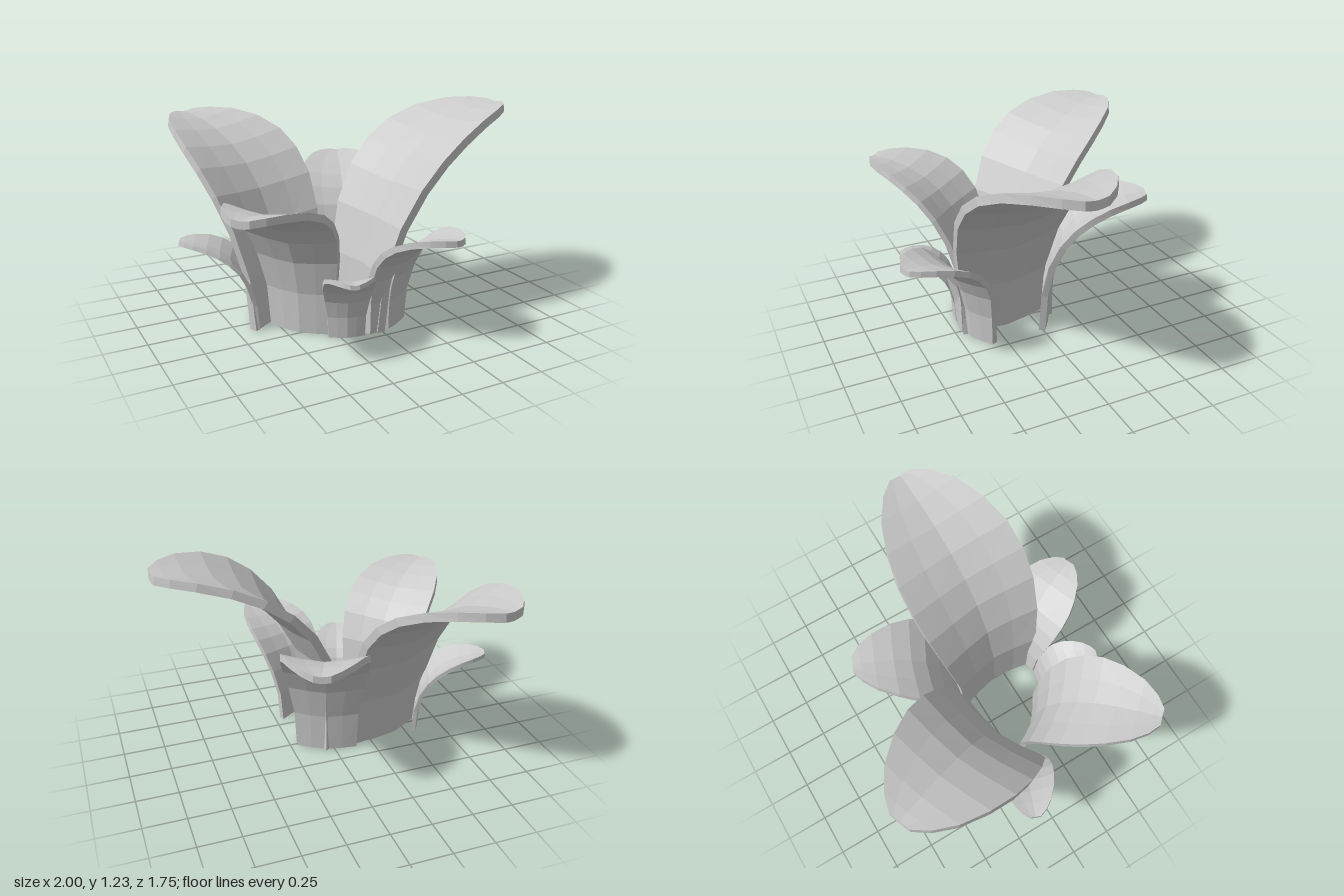
import * as THREE from 'three';

const material = new THREE.MeshStandardMaterial({ color: 0xcccccc, flatShading: true, side: THREE.DoubleSide });

// Half-width of a leaf along its length: [position, fraction of widest]
const OUTLINE = [[0, 0.72], [0.16, 0.76], [0.32, 0.88], [0.46, 0.97], [0.58, 1], [0.69, 0.97],
  [0.8, 0.85], [0.9, 0.65], [0.965, 0.41], [1, 0.18]];
const ACROSS = [-1, -0.5, 0, 0.5, 1];

// Upright curve of a leaf, bending outwards (local +z)
function leafCurve({ reach, height, rise, lean, crest }) {
  return new THREE.CubicBezierCurve3(
    new THREE.Vector3(0, 0, 0), new THREE.Vector3(0, height * rise, 0),
    new THREE.Vector3(0, height * crest, reach * lean), new THREE.Vector3(0, height, reach));
}

// Thick, cupped blade lofted from closed cross-sections along the curve
function bladeGeometry(leaf) {
  const curve = leafCurve(leaf);
  const pos = [], idx = [], n = ACROSS.length, ring = 2 * n;
  OUTLINE.forEach(([t, w]) => {
    const p = curve.getPoint(t), d = curve.getTangent(t);
    const half = leaf.width / 2 * w;
    const cup = half * (0.2 - 0.06 * t);
    const point = (u, depth) => {
      const k = cup * Math.abs(u) ** 1.4 - depth;
      // keep the foot flat on the ground
      pos.push(u * half, Math.max(0, p.y + d.z * k), p.z - d.y * k);
    };
    ACROSS.forEach(u => point(u, 0));
    [...ACROSS].reverse().forEach(u => point(u, leaf.thick));
  });
  for (let i = 0; i < OUTLINE.length - 1; i++) {
    for (let j = 0; j < ring; j++) {
      const a = i * ring + j, b = i * ring + (j + 1) % ring;
      idx.push(a, a + ring, b, b, a + ring, b + ring);
    }
  }
  // foot and tip caps
  const top = (OUTLINE.length - 1) * ring;
  for (let j = 0; j < n - 1; j++) {
    const a = j, b = j + 1, c = ring - 1 - j, d = ring - 2 - j;
    idx.push(a, b, c, b, d, c);
    idx.push(top + a, top + c, top + b, top + b, top + c, top + d);
  }
  return finish(pos, idx);
}

// Tapering ridge on the outer face, running up from the foot
function ridgeGeometry(leaf) {
  const curve = leafCurve(leaf);
  const pos = [], idx = [], steps = 4;
  for (let i = 0; i <= steps; i++) {
    const t = 0.36 * i / steps, f = 1 - i / steps;
    const p = curve.getPoint(t), d = curve.getTangent(t);
    [[-0.026 * f, 0.6], [0, 1 + 0.5 * f], [0.026 * f, 0.6]].forEach(([x, k]) =>
      pos.push(x + leaf.ridge, Math.max(0, p.y - d.z * leaf.thick * k), p.z + d.y * leaf.thick * k));
  }
  for (let i = 0; i < steps; i++) {
    for (let j = 0; j < 2; j++) {
      const a = i * 3 + j;
      idx.push(a, a + 1, a + 3, a + 1, a + 4, a + 3);
    }
  }
  idx.push(0, 2, 1);
  return finish(pos, idx);
}

function finish(pos, idx) {
  const g = new THREE.BufferGeometry();
  g.setAttribute('position', new THREE.Float32BufferAttribute(pos, 3));
  g.setIndex(idx);
  const flat = g.toNonIndexed();
  flat.computeVertexNormals();
  return flat;
}

// foot: x, z of the leaf's foot; dir: x, z direction it leans in; ridge: sideways place of its ridge
const LEAVES = [
  { name: 'largeLeftLeaf', foot: [0, 0.18], dir: [1, -0.07], reach: 0.99, height: 1.215, width: 0.77, thick: 0.05, rise: 0.6, lean: 0.35, crest: 0.95 },
  { name: 'largeBackLeaf', foot: [-0.41, -0.03], dir: [-0.35, -0.937], reach: 0.88, height: 1.14, width: 0.76, thick: 0.05, rise: 0.61, lean: 0.34, crest: 0.95 },
  { name: 'mediumFrontRightLeaf', foot: [-0.4, 0.215], dir: [-0.745, 0.667], reach: 0.7, height: 0.875, width: 0.56, thick: 0.04, rise: 0.66, lean: 0.31, crest: 0.98 },
  { name: 'mediumBackLeaf', foot: [0.035, -0.08], dir: [0.37, -0.929], reach: 0.61, height: 0.83, width: 0.52, thick: 0.04, rise: 0.68, lean: 0.27, crest: 0.97, ridge: 0 },
  { name: 'mediumFrontLeaf', foot: [0.065, 0.395], dir: [0.36, 0.933], reach: 0.49, height: 0.645, width: 0.44, thick: 0.035, rise: 0.67, lean: 0.28, crest: 0.95, ridge: -0.05 },
  { name: 'smallRightLeaf', foot: [-0.6, -0.01], dir: [-0.93, -0.37], reach: 0.42, height: 0.525, width: 0.33, thick: 0.025, rise: 0.65, lean: 0.3, crest: 0.94 },
  { name: 'smallFrontLeaf', foot: [-0.21, 0.41], dir: [-0.34, 0.94], reach: 0.33, height: 0.445, width: 0.29, thick: 0.025, rise: 0.66, lean: 0.28, crest: 0.95 },
];

export function createModel() {
  const model = new THREE.Group();
  model.name = 'leafCluster';
  for (const leaf of LEAVES) {
    const group = new THREE.Group();
    group.name = leaf.name;
    group.position.set(leaf.foot[0], 0, leaf.foot[1]);
    group.rotation.y = Math.atan2(leaf.dir[0], leaf.dir[1]);
    const blade = new THREE.Mesh(bladeGeometry(leaf), material);
    blade.name = 'blade';
    group.add(blade);
    if (leaf.ridge !== undefined) {
      const ridge = new THREE.Mesh(ridgeGeometry(leaf), material);
      ridge.name = 'ridge';
      group.add(ridge);
    }
    model.add(group);
  }
  return model;
}
